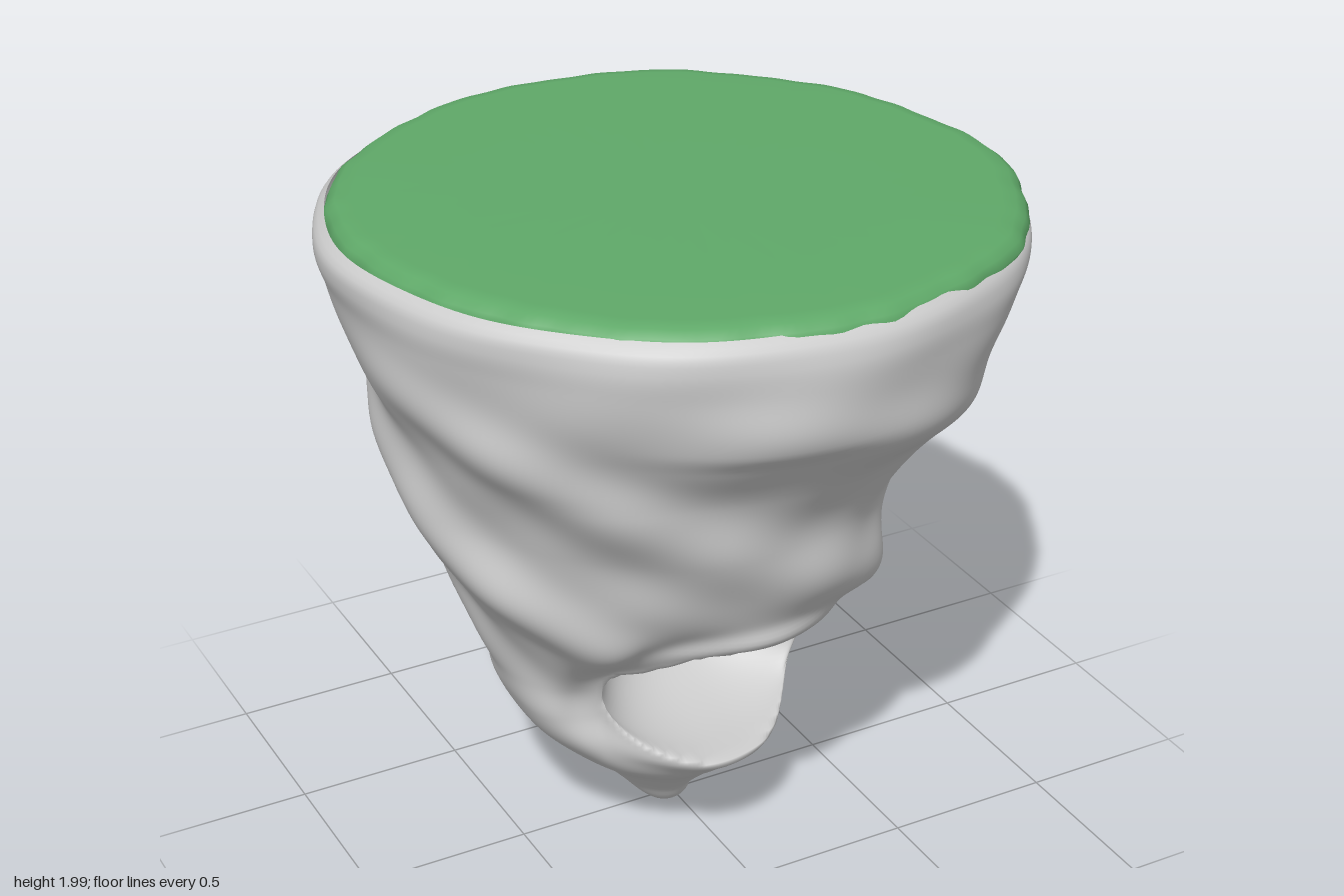
import * as THREE from 'three';

const COLS = 200, TAU = Math.PI * 2;
const { smoothstep } = THREE.MathUtils;
const gauss = (v, width) => Math.exp(-((v / width) ** 2));

// Cross-section extents by height: left x, right x, back z, front z
const heights = [0, 0.03, 0.1, 0.2, 0.3, 0.4, 0.5, 0.6, 0.8, 1.0, 1.2, 1.4, 1.6, 1.8, 1.88, 1.93, 1.96];
const extents = [
  -0.05, -0.04, 0.02, 0.03,
  -0.1, 0.02, -0.06, 0.08,
  -0.17, 0.07, -0.19, 0.13,
  -0.26, 0.17, -0.25, 0.23,
  -0.37, 0.27, -0.32, 0.35,
  -0.47, 0.34, -0.45, 0.42,
  -0.52, 0.41, -0.54, 0.46,
  -0.54, 0.47, -0.58, 0.50,
  -0.62, 0.58, -0.62, 0.57,
  -0.73, 0.62, -0.71, 0.64,
  -0.78, 0.67, -0.75, 0.68,
  -0.83, 0.76, -0.76, 0.77,
  -0.90, 0.87, -0.85, 0.89,
  -0.94, 0.93, -0.90, 0.93,
  -0.96, 0.96, -0.93, 0.93,
  -0.95, 0.95, -0.92, 0.91,
  -0.91, 0.91, -0.89, 0.87,
];
const section = new THREE.CubicInterpolant(heights, extents, 4);

// Small overhanging ledges under the rim: angle, depth, width
const ledges = [[0, 0.06, 0.28], [1.75, 0.02, 0.3], [-1.2, 0.025, 0.25]];

// Closed loft: point(t, angle) gives a position, t running 0..1 over the rows
function loft(rows, point) {
  const pos = [], index = [];
  for (let j = 0; j <= rows; j++) {
    for (let i = 0; i < COLS; i++) pos.push(...point(j / rows, (i / COLS) * TAU));
  }
  for (let j = 0; j < rows; j++) {
    for (let i = 0; i < COLS; i++) {
      const a = j * COLS + i, b = j * COLS + ((i + 1) % COLS);
      index.push(a, a + COLS, b, b, a + COLS, b + COLS);
    }
  }
  const geo = new THREE.BufferGeometry();
  geo.setAttribute('position', new THREE.Float32BufferAttribute(pos, 3));
  geo.setIndex(index);
  geo.computeVertexNormals();
  return geo;
}

// Rock surface with spiral ridges, before the cave is hollowed
function rockPoint(y, a) {
  const [x0, x1, z0, z1] = section.evaluate(y);
  const fade = smoothstep(y, 0.2, 0.9) * (1 - smoothstep(y, 1.45, 1.8));
  const phase = 4 * (a - 2.8 * y + 1.65) + 0.4 * Math.sin(2 * a + 1);
  const ridge = 0.034 * fade * (Math.cos(phase) + 0.25 * Math.cos(2 * phase + 0.6));
  const lumps = 0.008 * Math.sin(7 * a + 5 * y) * Math.sin(9 * y + 3 * a) * Math.min(1, y * 3);
  const oval = 0.035 * Math.cos(2 * (a - 0.9)) * smoothstep(y, 0.8, 1.8);
  let s = 1 + ridge + lumps + oval;
  for (const [angle, depth, width] of ledges) {
    const turn = Math.atan2(Math.sin(a - angle), Math.cos(a - angle));
    s += depth * gauss(turn, width) * smoothstep(y, 1.56, 1.63) * (1 - smoothstep(y, 1.63, 1.85));
  }
  return [
    (x0 + x1) / 2 + ((x1 - x0) / 2) * s * Math.cos(a), y,
    (z0 + z1) / 2 + ((z1 - z0) / 2) * s * Math.sin(a),
  ];
}

// Cave: points inside the front opening are pushed back into a rounded hollow
const cave = { x: 0, y: 0.61, rx: 0.35, ry: 0.23, back: -0.05 };
function hollow([x, y, z]) {
  if (z < 0) return [x, y, z];
  const dx = x - cave.x, dy = y - cave.y;
  const u = dx / cave.rx, v = dy / cave.ry;
  const e = (Math.abs(u) ** 2.3 + Math.abs(v) ** 2.3) ** (1 / 2.3);
  // Recessed sides and raised upper and lower lips
  const front = smoothstep(z, 0, 0.3);
  z -= 0.13 * front * gauss(e - 1, 0.35) * Math.min(1, u * u);
  z += 0.03 * front * gauss(e - 1.1, 0.16) * Math.min(1, v * v);
  if (e >= 1 || e < 1e-6) return [x, y, e < 1 ? cave.back : z];
  const k = Math.cos((e * Math.PI) / 2) ** 0.8;
  const spread = Math.sin((e * Math.PI) / 2) / e;
  return [cave.x + dx * spread, cave.y + dy * spread, z + (cave.back - z) * k];
}

// Grass cap: ragged hem, rounded shoulder, flat top
const hem = [[1.0, 1.91], [1.003, 1.935], [0.99, 1.96], [0.965, 1.978], [0.92, 1.986], [0.6, 1.988], [0, 1.988]];
function grassPoint(t, a) {
  const row = Math.round(t * (hem.length - 1));
  const [s, y] = hem[row];
  const [x, , z] = rockPoint(1.9, a);
  const ragged = 0.01 * Math.sin(9 * a) + 0.007 * Math.sin(23 * a + 1) + 0.005 * Math.sin(41 * a);
  // The cap sits further in where the rock rim shows
  const inset = 0.997 - 0.035 * Math.max(0, Math.cos(a - 3.6)) - 0.035 * Math.max(0, Math.cos(a - 2)) + 0.4 * ragged;
  const rise = row > 1 && s > 0 ? 0.008 * Math.cos(a + 1.2) * s : 0;
  return [x * s * inset, y + rise + (row === 0 ? ragged : 0), z * s * inset];
}

export function createModel() {
  const group = new THREE.Group();
  const add = (name, geo, color) => {
    const mesh = new THREE.Mesh(geo, new THREE.MeshStandardMaterial({ color, side: THREE.DoubleSide }));
    mesh.name = name;
    group.add(mesh);
  };
  add('rockWithCave', loft(150, (t, a) => hollow(rockPoint(t * 1.95, a))), 0xcccccc);
  add('grassTop', loft(hem.length - 1, grassPoint), 0x5fa868);
  return group;
}
